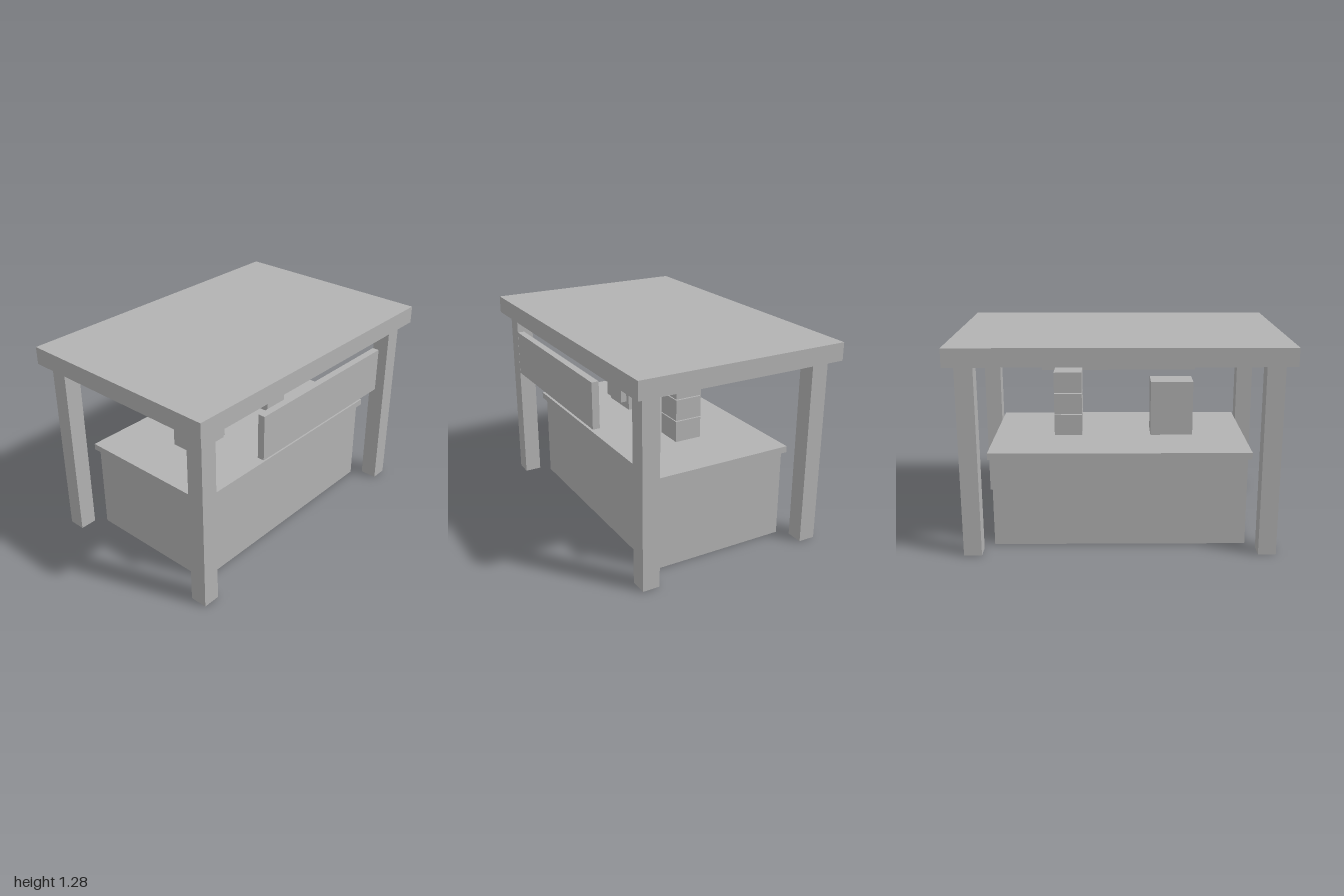
import * as THREE from 'three';

export function createModel() {
  const model = new THREE.Group();
  model.name = 'marketStall';
  const grey = new THREE.MeshStandardMaterial({ color: 0xb2b2b2 });
  grey.name = 'plain grey';

  // Box given by its extents along each axis
  const block = (name, [x0, x1], [y0, y1], [z0, z1]) => {
    const mesh = new THREE.Mesh(new THREE.BoxGeometry(x1 - x0, y1 - y0, z1 - z0), grey);
    mesh.position.set((x0 + x1) / 2, (y0 + y1) / 2, (z0 + z1) / 2);
    mesh.name = name;
    model.add(mesh);
  };

  // Roof and its four posts
  block('roof', [-1, 1], [1.17, 1.28], [-0.688, 0.644]);
  for (const [side, x] of [['left', 0.888], ['right', -0.888]]) {
    for (const [end, z] of [['Front', 0.535], ['Back', -0.577]]) {
      block(`${side}${end}Post`, [x - 0.054, x + 0.054], [0, 1.17], [z - 0.054, z + 0.054]);
    }
  }

  // Counter
  block('counterBase', [-0.777, 0.777], [0, 0.56], [-0.466, 0.422]);
  block('counterTop', [-0.8, 0.8], [0.56, 0.6], [-0.488, 0.444]);

  // Sign board hanging in front of the roof edge
  block('signBoard', [-0.555, 0.555], [0.864, 1.14], [0.645, 0.688]);

  // Register with its raised display
  block('register', [-0.47, -0.2], [0.6, 0.95], [-0.108, 0.066]);
  block('registerDisplay', [-0.435, -0.235], [0.648, 0.778], [0.066, 0.107]);

  // Stack of three boxes with narrow gaps
  for (let i = 0; i < 3; i++) {
    const y = 0.6 + i * 0.139;
    block(`stackedBox${i + 1}`, [0.24, 0.417], [y, y + 0.133], [-0.108, 0.066]);
  }
  return model;
}
